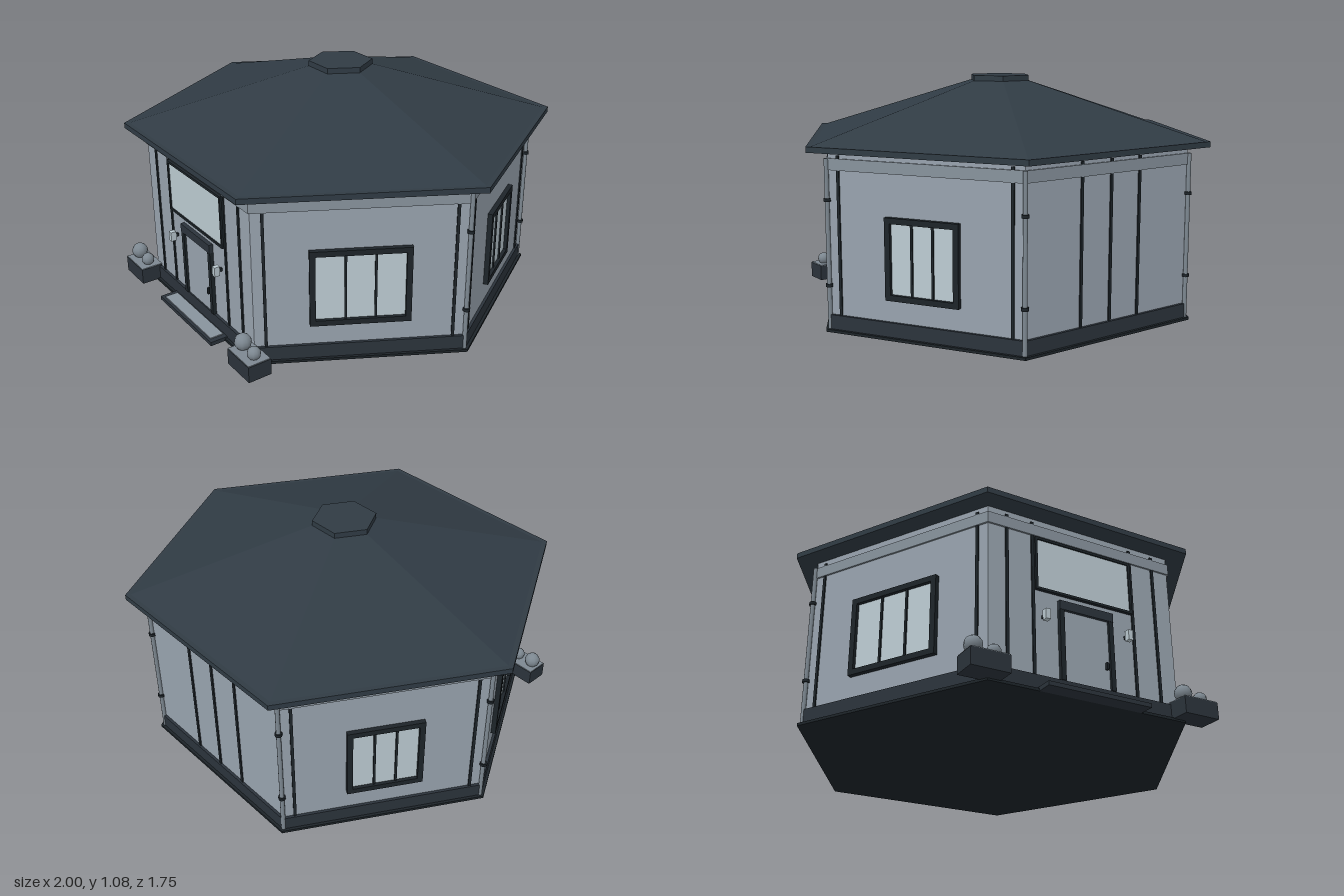
import * as THREE from 'three';

export function createModel() {
  const model = new THREE.Group();
  model.name = 'hexagonalPavilion';
  const mat = (name, color) => {
    const m = new THREE.MeshStandardMaterial({ color });
    m.name = name;
    return m;
  };
  const wall = mat('wall grey', 0x98a3ae);
  const band = mat('band grey', 0x88939d);
  const trim = mat('dark trim', 0x1d2429);
  const plinthMat = mat('plinth slate', 0x2b333b);
  const roofMat = mat('roof slate', 0x303b44);
  const glass = mat('pale glass', 0xbccbd2);
  const metal = mat('pipe grey', 0x7d8891);

  const CZ = -0.01;       // centre of the hexagon in z
  const R = 0.9;          // wall corner radius
  const A = R * Math.cos(Math.PI / 6); // distance to each wall
  const building = new THREE.Group();
  building.name = 'building';
  building.position.z = CZ;
  model.add(building);

  const add = (parent, name, geo, material, x = 0, y = 0, z = 0) => {
    const m = new THREE.Mesh(geo, material);
    m.name = name;
    m.position.set(x, y, z);
    parent.add(m);
    return m;
  };
  // Box given by its width, its bottom and top, and its back and front
  const box = (parent, name, material, x, w, y0, y1, z0, z1) =>
    add(parent, name, new THREE.BoxGeometry(w, y1 - y0, z1 - z0), material, x, (y0 + y1) / 2, (z0 + z1) / 2);
  // Six-sided prism or frustum with corners on the x axis
  const hex = (name, material, rBottom, rTop, y0, y1) => {
    const g = new THREE.CylinderGeometry(rTop, rBottom, y1 - y0, 6, 1, false, Math.PI / 6).toNonIndexed();
    g.computeVertexNormals();
    return add(building, name, g, material, 0, (y0 + y1) / 2, 0);
  };
  // Rectangular frame with its back on the plane z
  const frame = (parent, name, material, w, y0, y1, t, z, depth) => {
    const s = new THREE.Shape();
    s.moveTo(-w / 2, y0).lineTo(w / 2, y0).lineTo(w / 2, y1).lineTo(-w / 2, y1).closePath();
    const h = new THREE.Path();
    const i = w / 2 - t;
    h.moveTo(-i, y0 + t).lineTo(-i, y1 - t).lineTo(i, y1 - t).lineTo(i, y0 + t).closePath();
    s.holes.push(h);
    return add(parent, name, new THREE.ExtrudeGeometry(s, { depth, bevelEnabled: false }), material, 0, 0, z);
  };

  // Main body and roof
  hex('baseSlab', trim, 0.93, 0.93, 0, 0.012);
  hex('plinth', plinthMat, 0.915, 0.915, 0.012, 0.075);
  hex('walls', wall, R, R, 0.075, 0.785);
  hex('wallBand', band, 0.909, 0.909, 0.705, 0.755);
  hex('eave', roofMat, 1.0, 1.0, 0.785, 0.81);
  hex('roof', roofMat, 0.975, 0.13, 0.81, 1.06);
  hex('roofCap', roofMat, 0.147, 0.147, 1.055, 1.08);

  // One group per wall; local z points outwards, k = 0 is the front
  const sides = ['front', 'leftFront', 'leftBack', 'back', 'rightBack', 'rightFront'].map((n, k) => {
    const g = new THREE.Group();
    g.name = n + 'Wall';
    g.rotation.y = k * Math.PI / 3;
    building.add(g);
    return g;
  });

  const strips = (side, xs) => xs.forEach(x =>
    box(side, 'wallStrip', trim, x, 0.013, 0.075, 0.768, A - 0.002, A + 0.006));
  strips(sides[0], [-0.365, -0.245, 0.245, 0.365]);
  strips(sides[3], [-0.16, 0, 0.16]);

  // Side windows, wider on the front pair
  for (const [k, w] of [[1, 0.43], [5, 0.43], [2, 0.34], [4, 0.34]]) {
    const s = sides[k];
    strips(s, [-0.4, 0.4]);
    box(s, 'windowGlass', glass, 0, w - 0.03, 0.19, 0.5, A, A + 0.006);
    frame(s, 'windowFrame', trim, w, 0.172, 0.525, 0.025, A, 0.022);
    for (const d of [-1, 1])
      box(s, 'windowMullion', trim, d * (w - 0.05) / 6, 0.01, 0.195, 0.5, A, A + 0.013);
  }

  // Entrance: sign board, door and lamps
  const front = sides[0];
  box(front, 'signBoard', glass, 0, 0.46, 0.46, 0.69, A, A + 0.008);
  frame(front, 'signFrame', trim, 0.475, 0.453, 0.698, 0.011, A, 0.014);
  box(front, 'doorPanel', wall, 0, 0.22, 0.075, 0.385, A, A + 0.007);
  for (const d of [-1, 1]) {
    box(front, 'doorJamb', trim, d * 0.119, 0.022, 0.075, 0.385, A, A + 0.018);
    box(front, 'lampBracket', trim, d * 0.2, 0.012, 0.328, 0.342, A, A + 0.02);
    box(front, 'lamp', glass, d * 0.2, 0.022, 0.313, 0.358, A + 0.016, A + 0.042);
  }
  box(front, 'doorHead', plinthMat, 0, 0.26, 0.385, 0.425, A, A + 0.02);
  box(front, 'doorHandle', trim, 0.093, 0.01, 0.165, 0.195, A, A + 0.02);
  box(front, 'entranceStep', plinthMat, 0, 0.48, 0, 0.018, A, 0.875);
  box(front, 'doorMat', band, 0, 0.43, 0.018, 0.023, A + 0.02, 0.862);

  // Drainpipes on the two side corners and the two back corners
  for (const deg of [90, 150, 210, 270]) {
    const a = deg * Math.PI / 180;
    const x = Math.sin(a) * 0.908, z = Math.cos(a) * 0.908;
    add(building, 'drainpipe', new THREE.CylinderGeometry(0.01, 0.01, 0.745, 10), metal, x, 0.3825, z);
    for (const y of [0.205, 0.577])
      add(building, 'pipeBracket', new THREE.CylinderGeometry(0.016, 0.016, 0.014, 10), trim, x, y, z);
  }

  // Planters with clipped round shrubs
  for (const x of [-0.492, 0.49]) {
    const p = new THREE.Group();
    p.name = 'planter';
    p.position.set(x, 0, 0.82);
    model.add(p);
    box(p, 'planterBox', plinthMat, 0, 0.17, 0.008, 0.082, -0.055, 0.055);
    box(p, 'planterTop', metal, 0, 0.166, 0.082, 0.086, -0.053, 0.053);
    add(p, 'largeShrub', new THREE.SphereGeometry(0.038, 10, 8), metal, -0.047, 0.117, 0);
    add(p, 'smallShrub', new THREE.SphereGeometry(0.03, 10, 8), metal, 0.04, 0.108, 0);
  }
  return model;
}
